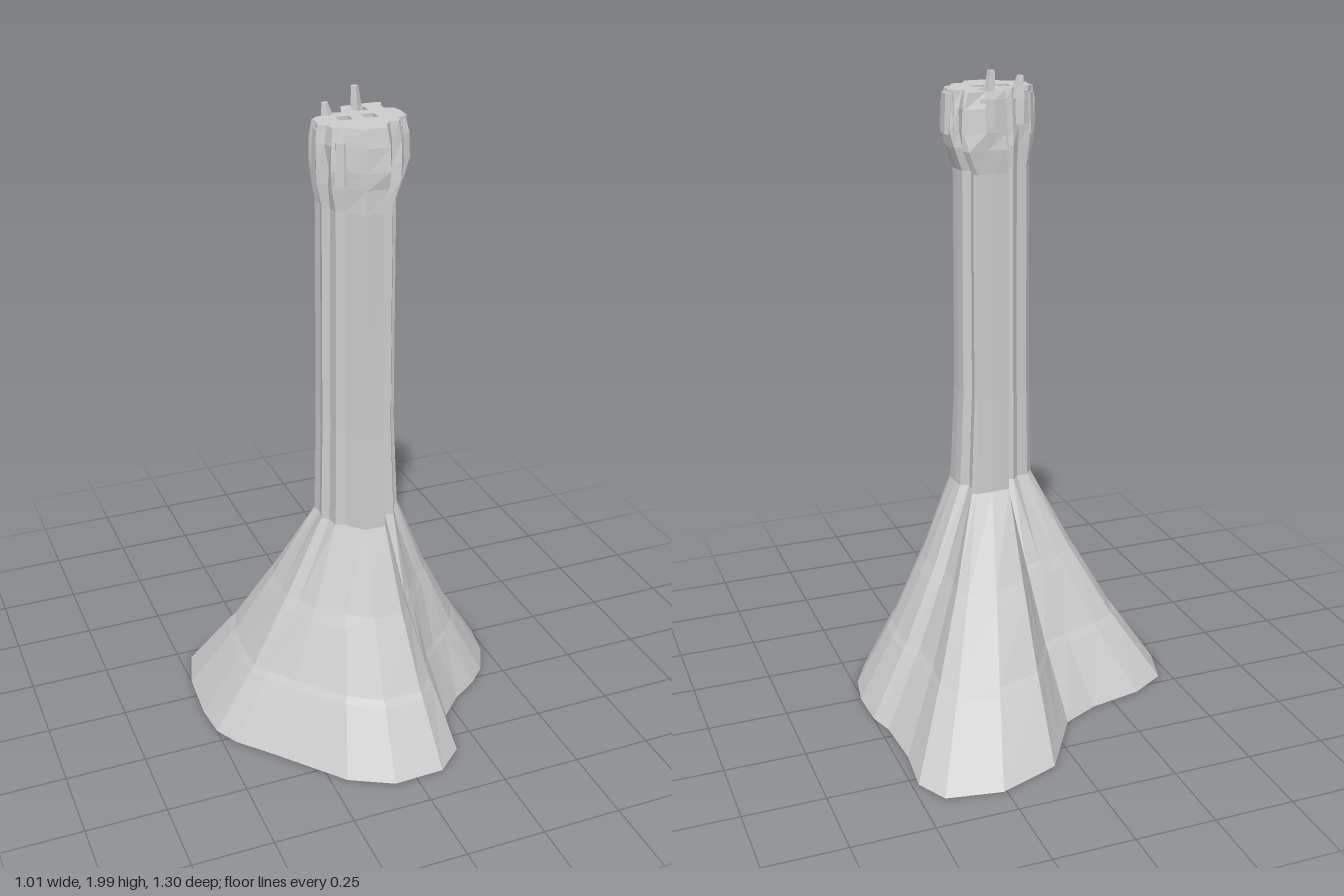
import * as THREE from 'three';

const material = new THREE.MeshStandardMaterial({ color: 0xcccccc, flatShading: true, side: THREE.DoubleSide });

// Outline of the skirt on the ground, [x, z], from the front round by the left
const foot = [
  [-0.07, 0.645], [0.09, 0.64], [0.175, 0.565], [0.19, 0.48], [0.215, 0.4], [0.29, 0.325], [0.375, 0.27],
  [0.435, 0.21], [0.485, 0.11], [0.505, 0], [0.5, -0.13], [0.475, -0.21], [0.465, -0.38], [0.48, -0.53],
  [0.43, -0.625], [0.26, -0.655], [0.07, -0.585], [0, -0.475], [-0.065, -0.37], [-0.18, -0.315], [-0.35, -0.28],
  [-0.46, -0.215], [-0.5, -0.08], [-0.51, 0.09], [-0.5, 0.2], [-0.46, 0.275], [-0.37, 0.375], [-0.2, 0.575],
];
// Matching outline of the fluted column
const column = [
  [-0.02, 0.26], [0.04, 0.26], [0.05, 0.225], [0.065, 0.2], [0.09, 0.205], [0.1, 0.185], [0.1, 0.16],
  [0.125, 0.15], [0.135, 0.12], [0.135, 0.08], [0.13, 0.045], [0.105, 0.035], [0.108, 0], [0.12, -0.03],
  [0.11, -0.04], [0.06, -0.04], [0.005, -0.035], [-0.005, 0], [-0.015, 0.04], [-0.035, 0.03], [-0.055, 0.05],
  [-0.09, 0.055], [-0.11, 0.08], [-0.105, 0.11], [-0.115, 0.15], [-0.095, 0.165], [-0.09, 0.2], [-0.065, 0.21],
];
const CX = 0.015, CZ = 0.105;

let seed = 7;
const rand = () => (seed = (seed * 16807) % 2147483647) / 2147483647 - 0.5;

const blend = (y, t) => column.map(([x, z], i) => [x + (foot[i][0] - x) * t, y, z + (foot[i][1] - z) * t]);
const scaled = (y, sx, sz, rough = 0) => column.map(([x, z]) => [
  CX + (x - CX) * sx * (1 + rough * rand()) + (sx - 1) * 0.06, y + rough * 0.08 * rand(),
  CZ + (z - CZ) * sz * (1 + rough * rand()),
]);

// Joins closed rings, listed from bottom to top
function loft(rings) {
  const n = rings[0].length, index = [];
  for (let r = 0; r < rings.length - 1; r++) {
    for (let i = 0; i < n; i++) {
      const a = r * n + i, b = r * n + (i + 1) % n;
      index.push(a, b, b + n, a, b + n, a + n);
    }
  }
  const g = new THREE.BufferGeometry();
  g.setAttribute('position', new THREE.Float32BufferAttribute(rings.flat(2), 3));
  g.setIndex(index);
  g.computeVertexNormals();
  return g;
}

export function createModel() {
  const group = new THREE.Group();
  const add = (name, geometry, x = 0, y = 0, z = 0, mat = material) => {
    const mesh = new THREE.Mesh(geometry, mat);
    mesh.name = name;
    mesh.position.set(x, y, z);
    group.add(mesh);
    return mesh;
  };

  // Flared skirt with two narrow ledges, open underneath
  const neck = scaled(0.69, 1.07, 1.07);
  add('skirt', loft([
    blend(0.01, 1), blend(0.2, 0.68), blend(0.22, 0.64), blend(0.4, 0.39), blend(0.44, 0.33), neck,
  ]));

  // Fluted column
  const collar = scaled(1.7, 0.96, 0.96);
  add('column', loft([neck, scaled(1.0, 0.98, 1), scaled(1.35, 0.97, 0.97), collar]));

  // Rugged head
  const rim = scaled(1.94, 1.1, 0.86);
  add('head', loft([
    collar, scaled(1.77, 1.13, 0.98, 0.1), scaled(1.82, 1.17, 0.98, 0.1),
    scaled(1.89, 1.17, 0.93, 0.1), rim,
  ]));

  // Flat top pierced by three square pits
  const shape = new THREE.Shape(rim.map(([x, , z]) => new THREE.Vector2(x, -z)));
  const pitMaterial = material.clone();
  pitMaterial.side = THREE.BackSide;
  const s = 0.02;
  [[0.05, 0.03], [0.05, 0.105], [-0.027, 0.105]].forEach(([x, z]) => {
    shape.holes.push(new THREE.Path([[-s, -s], [-s, s], [s, s], [s, -s]]
      .map(([u, v]) => new THREE.Vector2(x + u, v - z))));
    add('pit', new THREE.BoxGeometry(2 * s, 0.06, 2 * s), x, 1.91, z, pitMaterial);
  });
  add('top', new THREE.ShapeGeometry(shape).rotateX(-Math.PI / 2), 0, 1.94, 0);

  // Rock lumps round the head: x, y, z, width, height, depth
  [
    [-0.1, 1.86, 0.1, 0.045, 0.12, 0.09], [0.15, 1.87, 0.085, 0.045, 0.12, 0.08],
    [0.01, 1.86, 0.215, 0.08, 0.11, 0.045], [-0.07, 1.88, 0.06, 0.05, 0.1, 0.05],
    [0.1, 1.87, 0.17, 0.05, 0.11, 0.05], [0.05, 1.85, -0.02, 0.1, 0.14, 0.03],
    [-0.07, 1.84, 0.19, 0.05, 0.12, 0.05],
  ].forEach(([x, y, z, w, h, d]) => {
    const lump = add('rockLump', new THREE.CylinderGeometry(0.45, 0.55, 1, 6, 1), x, y, z);
    lump.scale.set(w, h, d);
  });

  // Small spikes rising from the rim
  add('tallSpike', new THREE.CylinderGeometry(0.012, 0.021, 0.09, 5), 0.05, 1.955, -0.002).rotation.z = 0.06;
  add('shortSpike', new THREE.CylinderGeometry(0.01, 0.026, 0.07, 5), -0.06, 1.94, 0.05).rotation.z = 0.15;

  return group;
}
